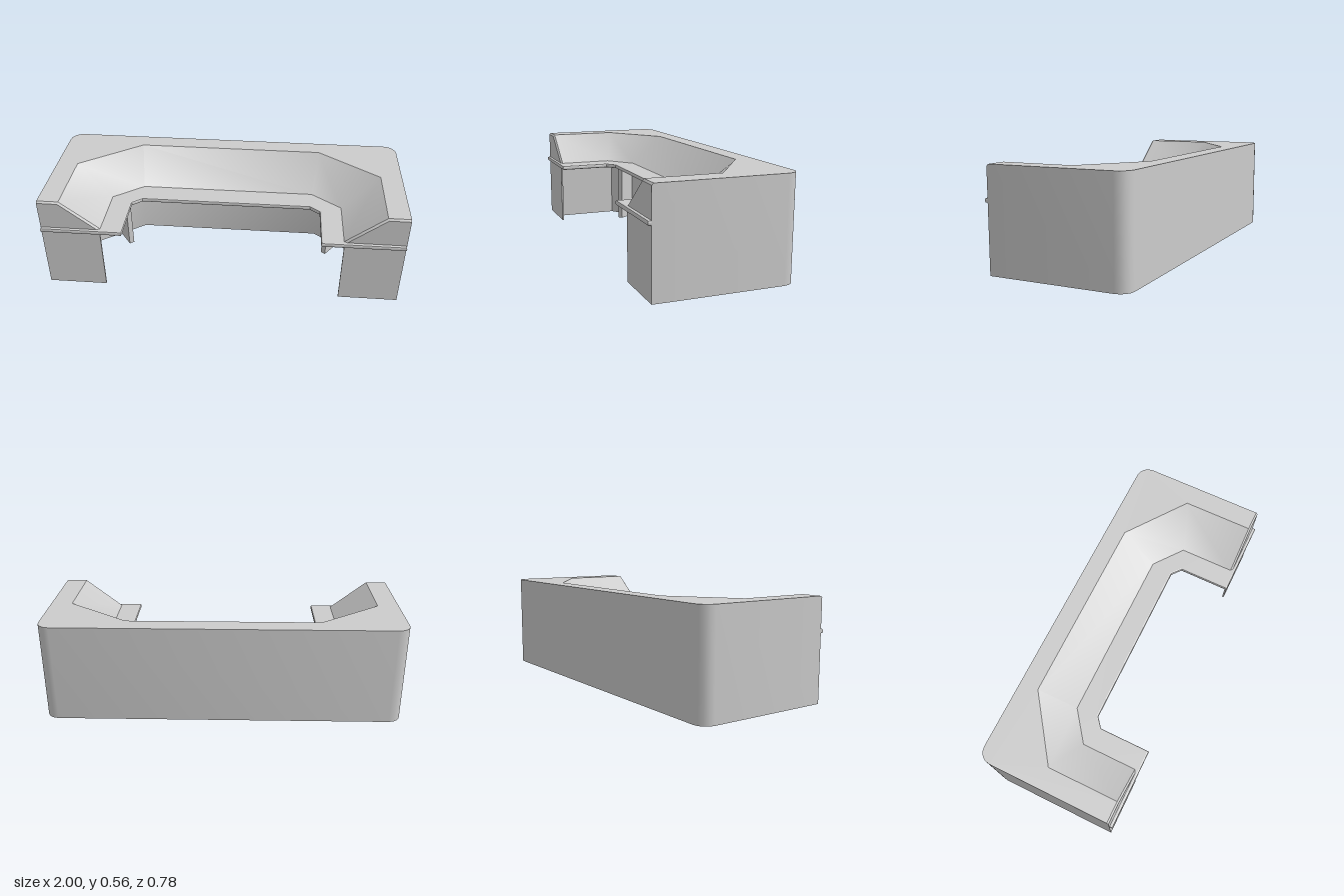
import * as THREE from 'three';
import { toCreasedNormals } from 'three/addons/utils/BufferGeometryUtils.js';

const material = new THREE.MeshStandardMaterial({ color: 0xcccccc, side: THREE.DoubleSide });

const TOP = 0.557, DESK_TOP = 0.39, DESK_BOTTOM = 0.365;
const FRONT = 0.373, BEVEL = 0.01, BACK = -0.39, RADIUS = 0.07;

// Completes a half path [x, z] (front left to back centre) with its mirror image.
const mirrored = (half) => [...half, ...half.map(([x, z]) => [-x, z]).reverse()];

// Lifts a path to a height; its two front ends can be moved to another z.
const lift = (path, y, endZ) =>
  path.map(([x, z], i) => [x, y, endZ !== undefined && (i === 0 || i === path.length - 1) ? endZ : z]);

// Surface through rows of points, softly shaded over shallow bends.
function loft(rows) {
  const n = rows[0].length, index = [];
  for (let r = 0; r < rows.length - 1; r++) {
    for (let i = 0; i < n - 1; i++) {
      const a = r * n + i, b = a + n;
      index.push(a, a + 1, b, a + 1, b + 1, b);
    }
  }
  const g = new THREE.BufferGeometry();
  g.setAttribute('position', new THREE.Float32BufferAttribute(rows.flat(2), 3));
  g.setIndex(index);
  return toCreasedNormals(g, 0.7);
}

// Plan shape from [x, z] points, to be laid flat with rotateX(-PI / 2).
const planShape = (points) => new THREE.Shape(points.map(([x, z]) => new THREE.Vector2(x, -z)));

export function createModel() {
  const group = new THREE.Group();
  const add = (name, geometry) => {
    const mesh = new THREE.Mesh(geometry, material);
    mesh.name = name;
    group.add(mesh);
    return mesh;
  };

  // Plan paths
  const outerHalf = [[1, FRONT]];
  for (let i = 0; i <= 4; i++) {
    const a = (i / 4) * Math.PI / 2;
    outerHalf.push([1 - RADIUS + RADIUS * Math.cos(a), BACK + RADIUS - RADIUS * Math.sin(a)]);
  }
  const outer = mirrored(outerHalf);
  const ridge = mirrored([[0.88, FRONT - BEVEL], [0.88, -0.035], [0.535, -0.285]]);
  const slopeFoot = mirrored([[0.665, FRONT - BEVEL], [0.665, 0.05], [0.5, -0.075]]);
  const deskEdge = mirrored([[0.545, 0.39], [0.545, 0.095], [0.49, 0.05]]);
  const kneeWall = mirrored([[0.8, FRONT - 0.005], [0.8, -0.02], [0.545, -0.21]]);

  // Outer casing with its softened front corners
  add('outerWall', loft([
    lift(outer, 0), lift(outer, TOP - BEVEL), lift(outer, TOP, FRONT - BEVEL),
  ]));

  // Flat rim on top
  const rimOuter = lift(outer, 0, FRONT - BEVEL).map(([x, , z]) => [x, z]);
  const rim = new THREE.ShapeGeometry(planShape([...rimOuter, ...[...ridge].reverse()]));
  add('topRim', rim.rotateX(-Math.PI / 2).translate(0, TOP, 0));

  // Sloping instrument panel, from the rim down to the worktop
  add('slopingPanel', loft([lift(ridge, TOP), lift(slopeFoot, DESK_TOP - 0.002)]));

  // Worktop with a rounded edge and a lip along the front
  const soft = 0.008;
  const deskOuter = mirrored([[0.999, 0.39], [0.999, -0.31], [0.92, -0.385]]);
  const desk = new THREE.ExtrudeGeometry(planShape([...deskOuter, ...[...deskEdge].reverse()]), {
    depth: DESK_TOP - DESK_BOTTOM - 2 * soft,
    bevelThickness: soft, bevelSize: soft, bevelOffset: -soft, bevelSegments: 2,
  });
  add('worktop', desk.rotateX(-Math.PI / 2).translate(0, DESK_BOTTOM + soft, 0));

  // Wall around the knee space
  add('kneeWall', loft([lift(kneeWall, 0), lift(kneeWall, DESK_BOTTOM)]));

  for (const [side, s] of [['left', 1], ['right', -1]]) {
    // Upper end cap: bevelled edge, then the flat front
    const edge = [[0.665, DESK_TOP - 0.002], [0.88, TOP], [1, TOP]];
    const inset = [[0.682, DESK_TOP - 0.002], [0.884, TOP - BEVEL], [1, TOP - BEVEL]];
    add(side + 'EndCapBevel', loft([
      edge.map(([x, y]) => [s * x, y, FRONT - BEVEL]),
      inset.map(([x, y]) => [s * x, y, FRONT]),
    ]));
    const cap = [...inset, [1, DESK_TOP - 0.002]].map(([x, y]) => new THREE.Vector2(s * x, y));
    add(side + 'EndCap', new THREE.ShapeGeometry(new THREE.Shape(cap)).translate(0, 0, FRONT));

    // Thin front panel below the worktop
    add(side + 'FrontPanel', new THREE.BoxGeometry(0.33, DESK_BOTTOM, 0.01))
      .position.set(s * 0.835, DESK_BOTTOM / 2, FRONT - 0.005);

    // Support fin standing out from the slanted knee wall
    const fin = add(side + 'SupportFin', new THREE.BoxGeometry(0.03, DESK_BOTTOM, 0.14));
    fin.position.set(s * 0.64, DESK_BOTTOM / 2, -0.073);
    fin.rotation.y = -s * 0.64;
  }
  return group;
}
